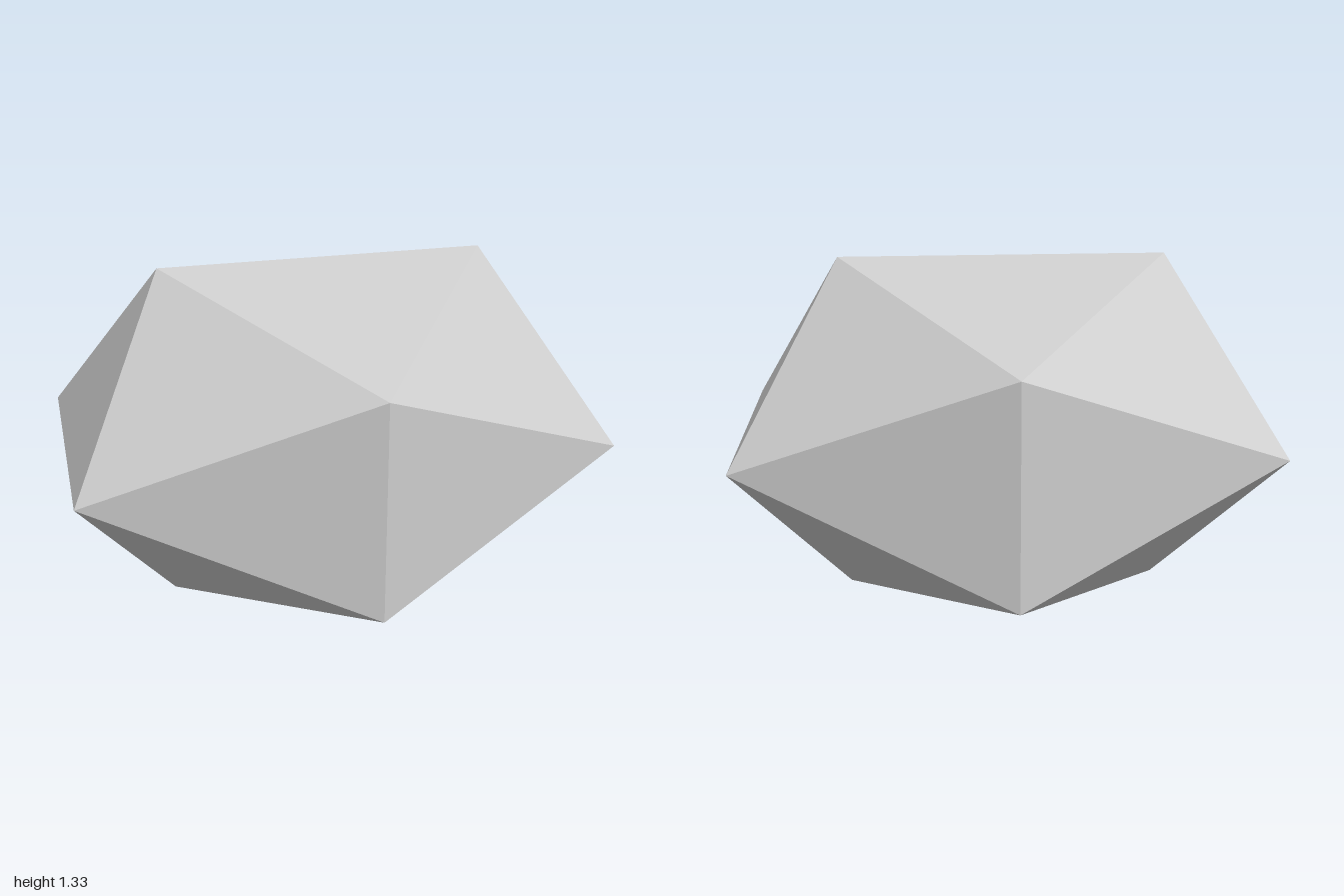
import * as THREE from 'three';

export function createModel() {
  const group = new THREE.Group();
  group.name = 'facetedStone';

  const stoneGrey = new THREE.MeshStandardMaterial({ color: 0xcccccc, flatShading: true });
  stoneGrey.name = 'stoneGrey';

  // Icosahedron whose longest half-extent is 1, squashed in height and depth
  const golden = (1 + Math.sqrt(5)) / 2;
  const radius = Math.hypot(1, golden) / golden;
  const halfHeight = 0.667, halfDepth = 0.83;
  const geometry = new THREE.IcosahedronGeometry(radius, 0);
  geometry.scale(1, halfHeight, halfDepth);
  geometry.translate(0, halfHeight, 0);
  geometry.computeVertexNormals();

  const stone = new THREE.Mesh(geometry, stoneGrey);
  stone.name = 'stone';
  group.add(stone);
  return group;
}
